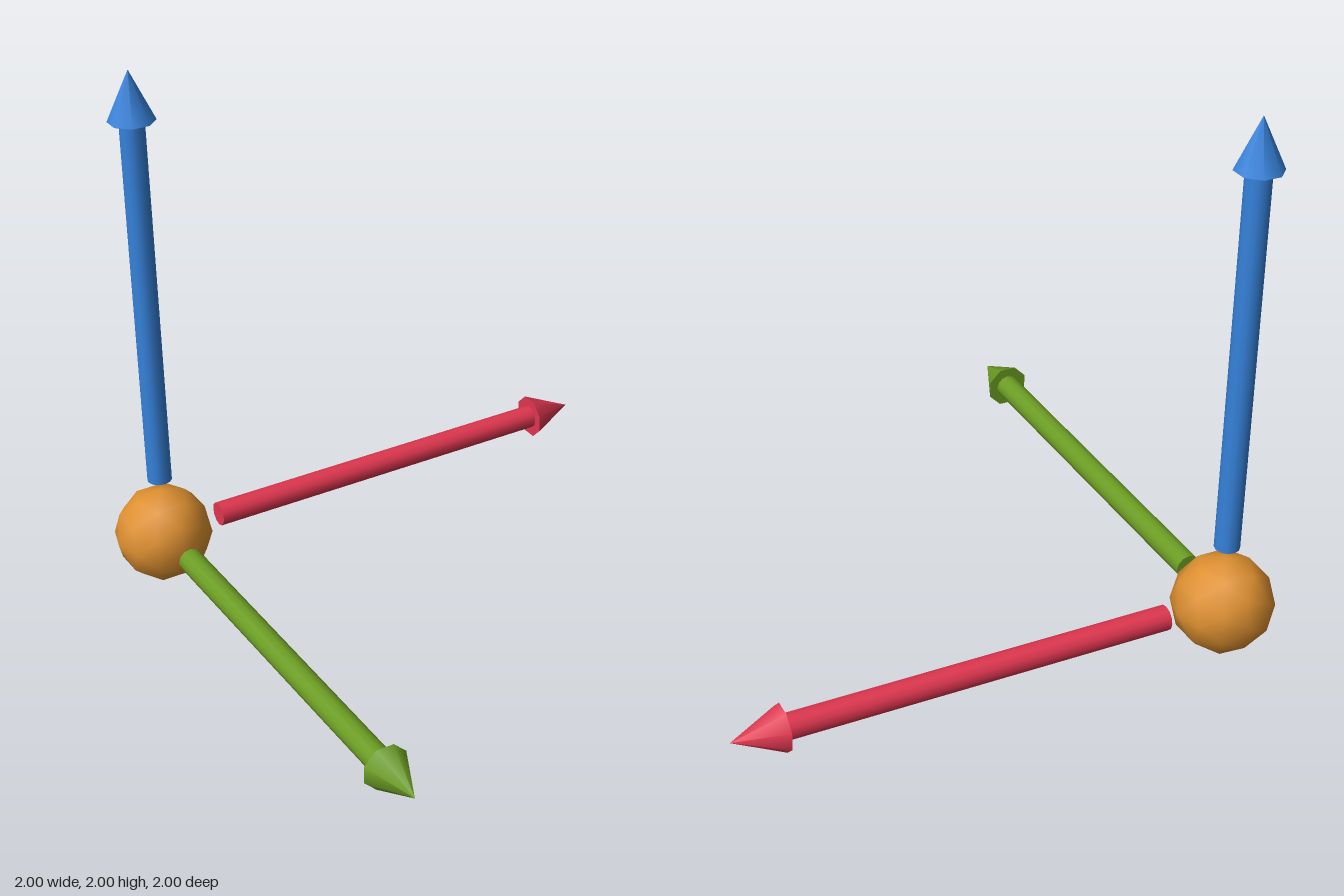
import * as THREE from 'three';

const R = 2 / 11;          // ball radius, the unit for all other sizes
const C = 1 - R;           // distance of the ball from the centre planes

function mat(name, color) {
  const m = new THREE.MeshStandardMaterial({ color });
  m.name = name;
  return m;
}

// Arrow along +y, starting just outside the ball and ending ten radii away
function makeArrow(name, material) {
  const arrow = new THREE.Group();
  arrow.name = name;

  const start = 1.25 * R, neck = 9 * R, tip = 10 * R;
  const shaft = new THREE.Mesh(
    new THREE.CylinderGeometry(0.045, 0.045, neck - start, 12), material);
  shaft.name = name + 'Shaft';
  shaft.position.y = (start + neck) / 2;

  // Eight-sided head with flats squared to the axes
  const head = new THREE.Mesh(
    new THREE.ConeGeometry(0.084, tip - neck, 8, 1, false, Math.PI / 8), material);
  head.name = name + 'Head';
  head.position.y = (neck + tip) / 2;

  arrow.add(shaft, head);
  return arrow;
}

export function createModel() {
  const model = new THREE.Group();
  model.name = 'axisArrows';

  // Ball at the origin of the three arrows
  const ball = new THREE.Mesh(new THREE.IcosahedronGeometry(R, 1), mat('orange', 0xde9030));
  ball.name = 'originBall';

  const up = makeArrow('upArrow', mat('blue', 0x3683dc));
  const side = makeArrow('sideArrow', mat('red', 0xdf364f));
  side.rotation.z = -Math.PI / 2;
  const front = makeArrow('frontArrow', mat('green', 0x6b9c23));
  front.rotation.x = Math.PI / 2;

  model.add(ball, up, side, front);
  for (const part of model.children) part.position.set(-C, R, -C);
  return model;
}
